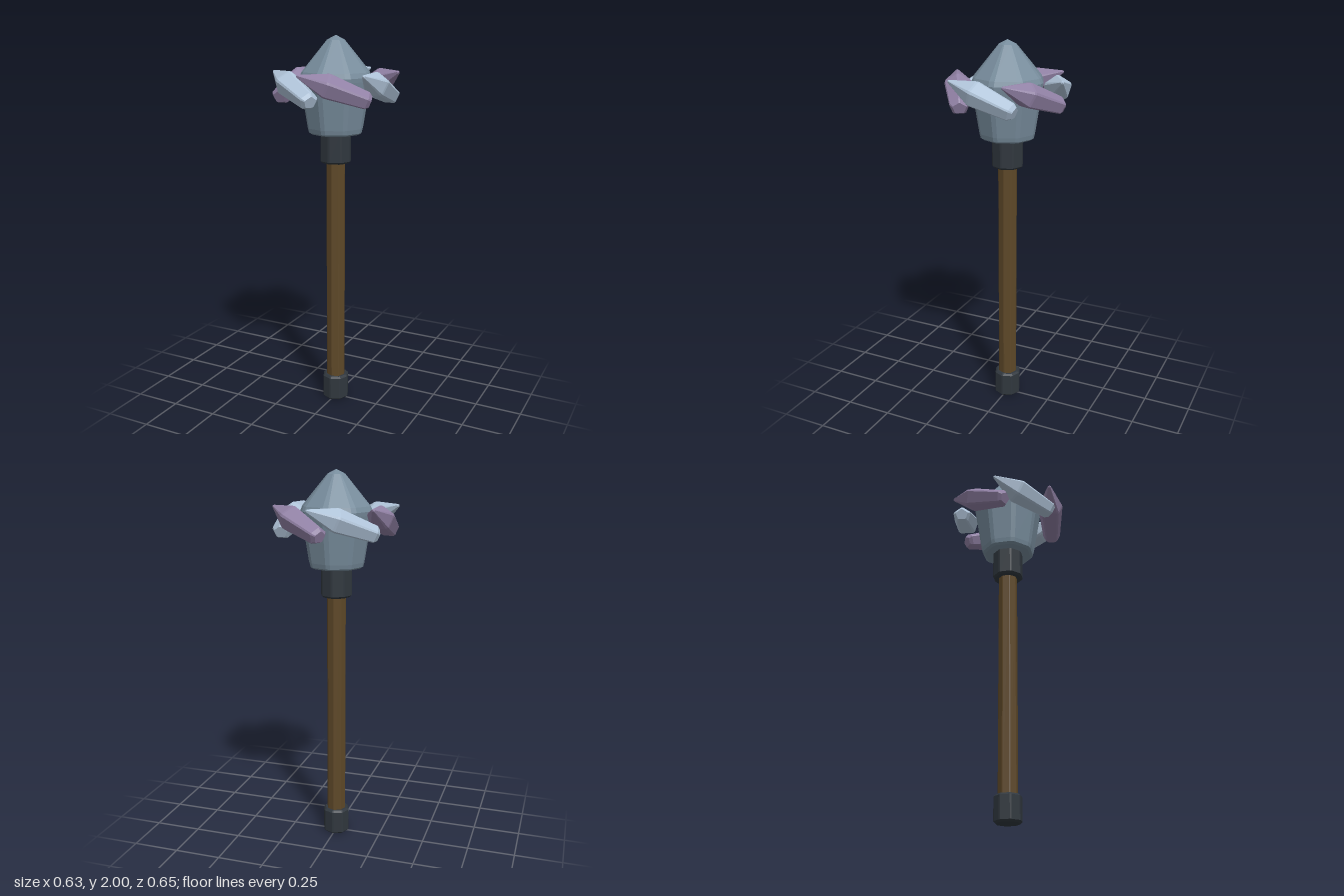
import * as THREE from 'three';

const material = (name, color) => Object.assign(new THREE.MeshStandardMaterial({ color }), { name });

// Faceted loft along y: rings are [radius, y] from bottom to top,
// each ring a regular polygon whose corners are chamfered by a small angle.
function loft(rings, sides, chamfer, start = 0) {
  const angles = [];
  for (let i = 0; i < sides; i++) {
    const a = start + (i / sides) * Math.PI * 2;
    angles.push(a - chamfer, a + chamfer);
  }
  const n = angles.length;
  const point = ([r, y], i) => [r * Math.sin(angles[i % n]), y, r * Math.cos(angles[i % n])];
  const pos = [];
  for (let k = 0; k < rings.length - 1; k++) {
    const lo = rings[k], hi = rings[k + 1];
    for (let i = 0; i < n; i++) {
      const a = point(lo, i), b = point(lo, i + 1), c = point(hi, i + 1), d = point(hi, i);
      if (lo[0] > 0) pos.push(...a, ...b, ...c);
      if (hi[0] > 0) pos.push(...a, ...c, ...d);
    }
  }
  const g = new THREE.BufferGeometry();
  g.setAttribute('position', new THREE.Float32BufferAttribute(pos, 3));
  g.computeVertexNormals();
  return g;
}

// Closed octagonal sleeve with bevelled rims
const sleeve = (r, y0, y1, bevel) => loft(
  [[0, y0], [r - bevel, y0], [r, y0 + bevel], [r, y1 - bevel], [r - bevel, y1], [0, y1]], 8, 0.06);

export function createModel() {
  const wood = material('wood', 0x5e4828);
  const iron = material('dark iron', 0x30373e);
  const stone = material('blue grey stone', 0x788d9d);
  const ice = material('pale blue crystal', 0xafc3d8);
  const amethyst = material('purple crystal', 0x9181a5);

  const model = new THREE.Group();
  model.name = 'crystalMace';
  const add = (parent, name, geometry, mat) => {
    const mesh = new THREE.Mesh(geometry, mat);
    mesh.name = name;
    parent.add(mesh);
    return mesh;
  };

  // Shaft with its end cap and upper collar
  add(model, 'shaft', sleeve(0.051, 0.06, 1.45, 0.005), wood);
  add(model, 'pommel', sleeve(0.072, 0, 0.14, 0.01), iron);
  add(model, 'collar', sleeve(0.083, 1.35, 1.515, 0.01), iron);

  // Pointed octagonal head
  add(model, 'head', loft([
    [0, 1.503], [0.128, 1.503], [0.142, 1.512], [0.148, 1.535],
    [0.187, 1.775], [0.189, 1.795], [0.178, 1.82], [0.046, 1.977], [0, 2],
  ], 8, 0.08), stone);

  // Ring of six tilted crystals, alternating in colour
  const crystal = loft([
    [0, -0.225], [0.034, -0.225], [0.05, -0.207], [0.071, -0.004],
    [0.069, 0.008], [0.009, 0.148], [0, 0.155],
  ], 5, 0.1, Math.PI);
  crystal.scale(1, 1, 0.9);
  crystal.computeVertexNormals();
  crystal.rotateX(THREE.MathUtils.degToRad(70.3));
  crystal.translate(0.247, 1.767, 0.06);
  for (let i = 0; i < 6; i++) {
    const shard = add(model, 'crystal' + (i + 1), crystal, i % 2 ? amethyst : ice);
    shard.rotation.y = (i * Math.PI) / 3;
  }
  return model;
}
